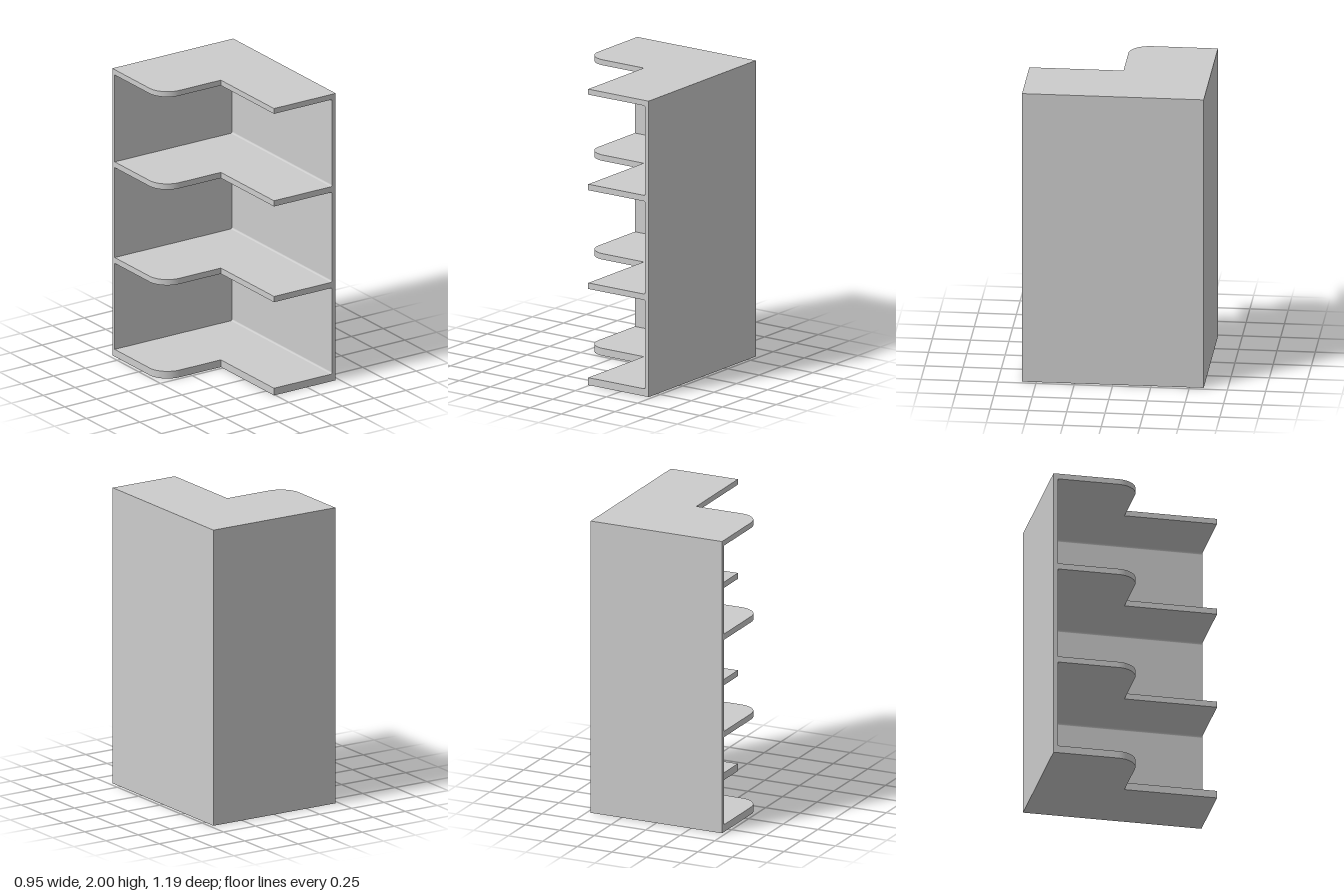
import * as THREE from 'three';

const W = 0.475, D = 0.593, T = 0.028;   // half width, half depth, wall thickness
const INNER_X = -0.01, INNER_Z = -0.022; // inside corner of the L-shaped shelves
const ROUND = 0.14, FILLET = 0.012;
const material = new THREE.MeshStandardMaterial({ color: 0xcccccc });

// Extrudes a plan outline (drawn as x, -z) upward from y0 to y1
function slab(name, shape, y0, y1) {
  const geometry = new THREE.ExtrudeGeometry(shape, { depth: y1 - y0, bevelEnabled: false, curveSegments: 16 });
  geometry.rotateX(-Math.PI / 2).translate(0, y0, 0);
  const mesh = new THREE.Mesh(geometry, material);
  mesh.name = name;
  return mesh;
}

// L-shaped shelf with one rounded free corner
function shelfOutline() {
  const s = new THREE.Shape();
  s.moveTo(-W, D);
  s.lineTo(-W, -INNER_Z + ROUND);
  s.absarc(-W + ROUND, -INNER_Z + ROUND, ROUND, Math.PI, Math.PI * 1.5, false);
  s.lineTo(INNER_X, -INNER_Z);
  s.lineTo(INNER_X, -D);
  s.lineTo(W, -D);
  s.lineTo(W, D);
  s.closePath();
  return s;
}

// Back wall and side wall meeting at a corner
function wallOutline() {
  return new THREE.Shape([
    [-W, D], [-W, D - T], [W - T, D - T], [W - T, -D], [W, -D], [W, D],
  ].map(([x, y]) => new THREE.Vector2(x, y)));
}

// Small concave strip between the side wall and a shelf; up is 1 above a shelf, -1 below
function filletStrip(y, up) {
  const s = new THREE.Shape();
  const x = W - T, r = FILLET;
  s.moveTo(x, y);
  s.lineTo(x, y + up * r);
  s.absarc(x - r, y + up * r, r, 0, -up * Math.PI / 2, up > 0);
  s.closePath();
  const geometry = new THREE.ExtrudeGeometry(s, { depth: 2 * D - T, bevelEnabled: false, curveSegments: 5 });
  geometry.translate(0, 0, -D + T);
  const mesh = new THREE.Mesh(geometry, material);
  mesh.name = 'cornerFillet';
  return mesh;
}

export function createModel() {
  const model = new THREE.Group();
  model.name = 'cornerShelf';

  // Bottom and top height of each shelf
  const shelves = [[0, 0.05], [0.65, 0.69], [1.317, 1.357], [1.963, 2]];
  shelves.forEach(([y0, y1], i) => {
    model.add(slab('shelf', shelfOutline(), y0, y1));
    if (i === shelves.length - 1) return;

    // Walls of the compartment above this shelf
    const next = shelves[i + 1][0];
    model.add(slab('walls', wallOutline(), y1, next));
    model.add(filletStrip(y1, 1), filletStrip(next, -1));
  });
  return model;
}
